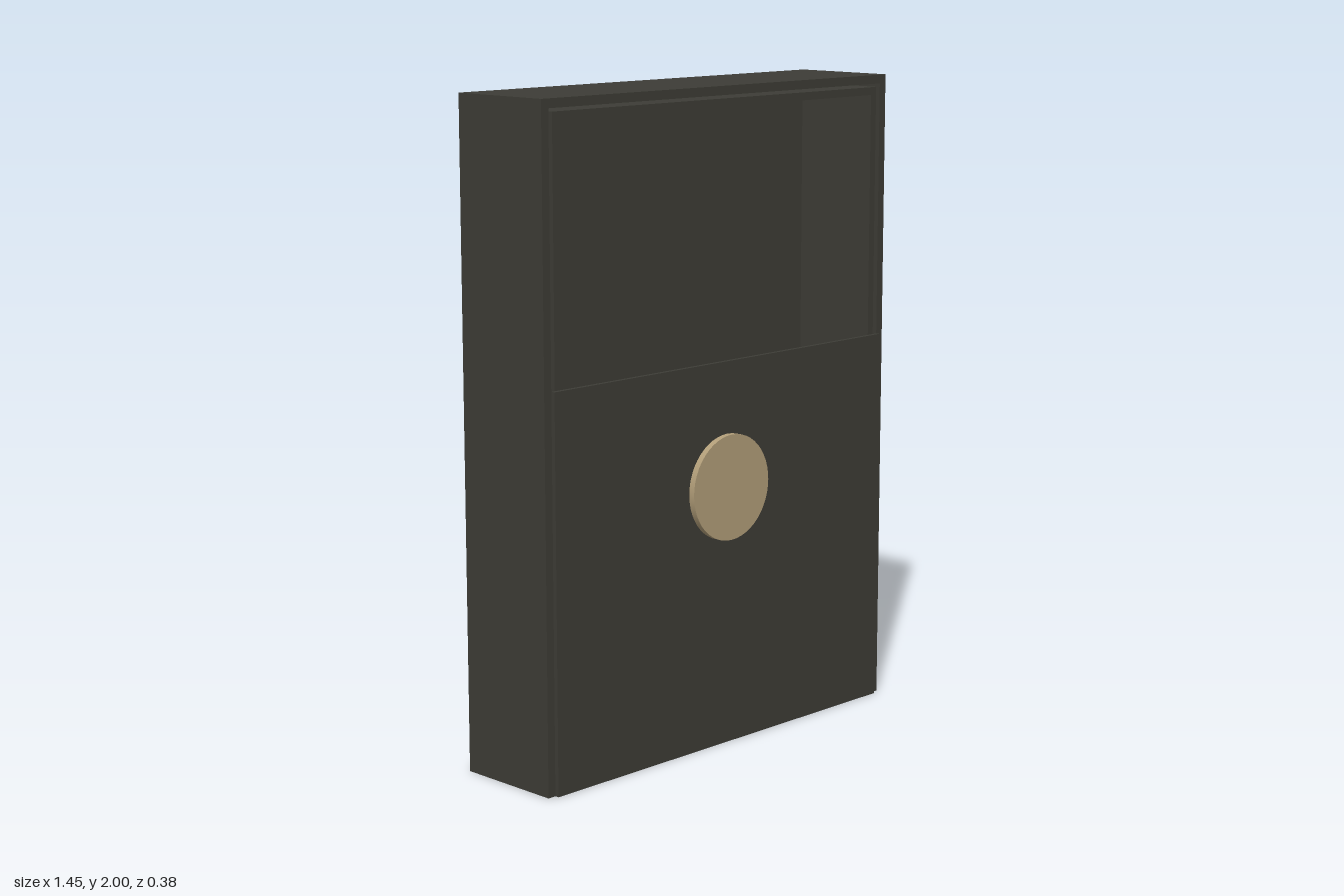
import * as THREE from 'three';

const darkShell = new THREE.MeshStandardMaterial({ color: 0x3d3c36 });
darkShell.name = 'dark shell';
const tanDisc = new THREE.MeshStandardMaterial({ color: 0xb29e79 });
tanDisc.name = 'tan disc';

// Upright rectangle path, used for outlines and holes
function rectangle(target, halfWidth, bottom, top) {
  target.moveTo(-halfWidth, bottom);
  target.lineTo(halfWidth, bottom);
  target.lineTo(halfWidth, top);
  target.lineTo(-halfWidth, top);
  target.closePath();
  return target;
}

// Four-sided frame, open along z
function frame(name, halfWidth, bottom, top, wall, back, front) {
  const shape = rectangle(new THREE.Shape(), halfWidth, bottom, top);
  shape.holes.push(rectangle(new THREE.Path(), halfWidth - wall, bottom + wall, top - wall));
  const geometry = new THREE.ExtrudeGeometry(shape, { depth: front - back, bevelEnabled: false });
  geometry.translate(0, 0, back);
  const mesh = new THREE.Mesh(geometry, darkShell);
  mesh.name = name;
  return mesh;
}

// Flat upright panel
function panel(name, halfWidth, bottom, top, back, front) {
  const mesh = new THREE.Mesh(new THREE.BoxGeometry(halfWidth * 2, top - bottom, front - back), darkShell);
  mesh.position.set(0, (bottom + top) / 2, (back + front) / 2);
  mesh.name = name;
  return mesh;
}

export function createModel() {
  const model = new THREE.Group();
  model.name = 'case';

  // Outer sleeve, open at front and back
  model.add(frame('outerSleeve', 0.727, 0, 2, 0.027, -0.188, 0.155));

  // Inner tray with a recessed back, floating inside the sleeve
  const tray = new THREE.Group();
  tray.name = 'innerTray';
  tray.add(frame('trayWalls', 0.685, 0.037, 1.963, 0.024, -0.15, 0.153));
  tray.add(panel('trayBack', 0.665, 0.055, 1.945, -0.15, -0.132));
  model.add(tray);

  // Low front cover
  model.add(panel('frontCover', 0.7, 0, 1.185, 0.155, 0.168));

  // Round badge on the cover
  const disc = new THREE.Mesh(new THREE.CylinderGeometry(0.162, 0.162, 0.02, 48), tanDisc);
  disc.rotation.x = Math.PI / 2;
  disc.position.set(0, 0.803, 0.178);
  disc.name = 'roundDisc';
  model.add(disc);

  return model;
}
